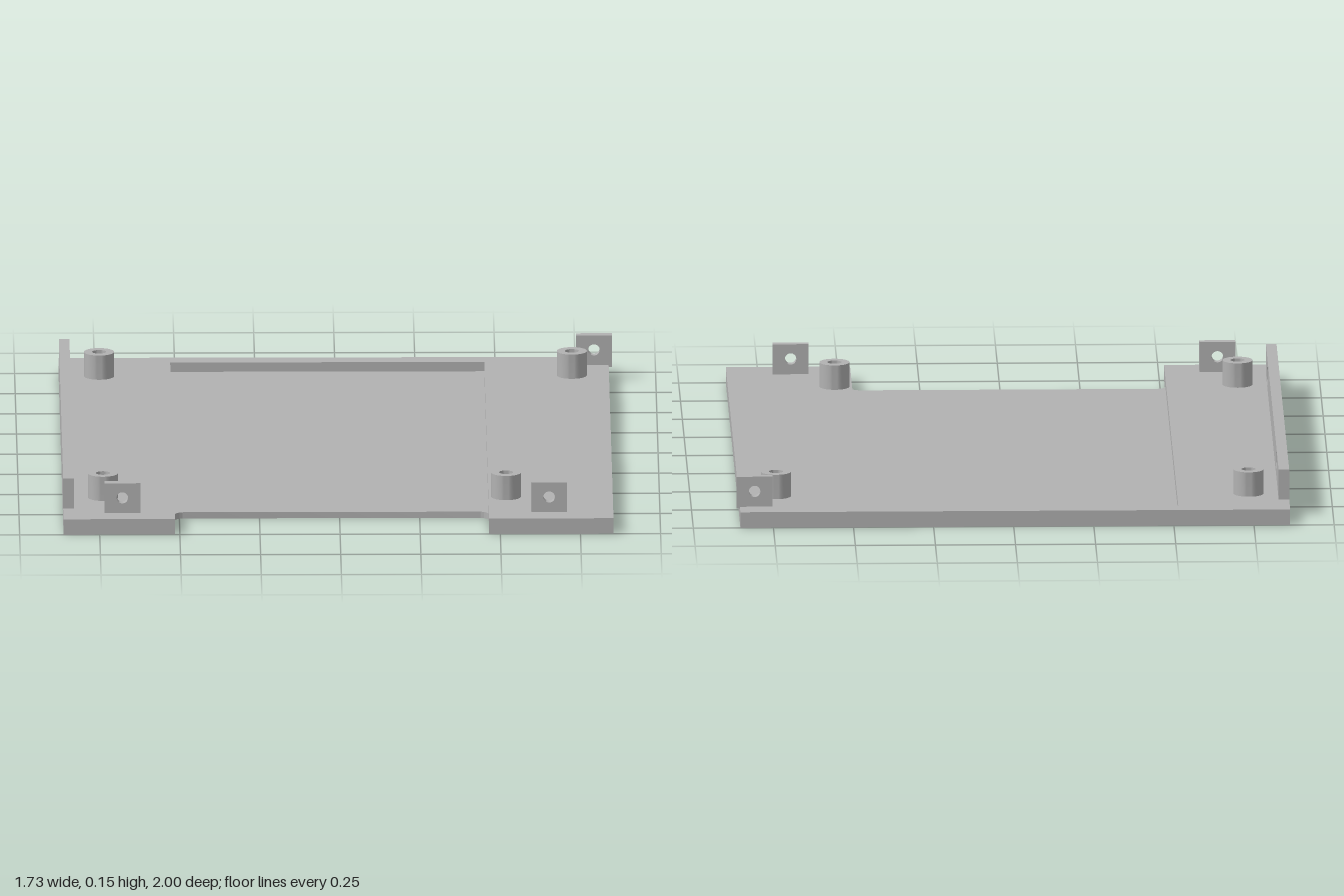
import * as THREE from 'three';
import { toCreasedNormals } from 'three/addons/utils/BufferGeometryUtils.js';

const X0 = -0.863, X1 = 0.853;        // plate sides
const R0 = -0.515, R1 = 0.465;        // recess sides
const FLOOR = 0.02, TOP = 0.05;       // recess floor and plate top
const HOLE_Y = 0.099, WALL_TOP = 0.146;

function polygon(points) {
  return new THREE.Shape(points.map(([x, y]) => new THREE.Vector2(x, y)));
}

function rect(x0, y0, x1, y1) {
  return polygon([[x0, y0], [x1, y0], [x1, y1], [x0, y1]]);
}

function roundHole(x, y, r) {
  return new THREE.Path().absarc(x, y, r, 0, Math.PI * 2, true);
}

// Hexagon with a corner pointing up
function hexHole(x, y, r) {
  const points = [];
  for (let i = 0; i < 6; i++) {
    const a = Math.PI / 2 - i * Math.PI / 3;
    points.push(new THREE.Vector2(x + r * Math.cos(a), y + r * Math.sin(a)));
  }
  return new THREE.Path(points);
}

function extrude(shape, depth) {
  const g = new THREE.ExtrudeGeometry(shape, { depth, bevelEnabled: false, curveSegments: 20 });
  return toCreasedNormals(g, 0.6);
}

export function createModel() {
  const model = new THREE.Group();
  const grey = new THREE.MeshStandardMaterial({ color: 0xb2b2b2 });
  grey.name = 'plain grey';

  const add = (name, geometry) => {
    const mesh = new THREE.Mesh(geometry, grey);
    mesh.name = name;
    model.add(mesh);
    return mesh;
  };
  // Shapes drawn in plan (x, -z), raised from y0 to y1
  const slab = (name, shape, y0, y1) =>
    add(name, extrude(shape, y1 - y0).rotateX(-Math.PI / 2).translate(0, y0, 0));

  // Base plate, notched at the front with rounded inner corners
  const f = 0.03, notch = -0.8;
  const base = new THREE.Shape();
  base.moveTo(X0, -1);
  base.lineTo(R0, -1);
  base.lineTo(R0, notch - f);
  base.absarc(R0 + f, notch - f, f, Math.PI, Math.PI / 2, true);
  base.lineTo(R1 - f, notch);
  base.absarc(R1 - f, notch - f, f, Math.PI / 2, 0, true);
  base.lineTo(R1, -1);
  base.lineTo(X1, -1);
  base.lineTo(X1, 1);
  base.lineTo(X0, 1);
  slab('basePlate', base, 0, FLOOR);

  // Raised border around the recess, open at the front
  slab('raisedBorder', polygon([
    [X0, -1], [R0, -1], [R0, 0.94], [R1, 0.94], [R1, -1], [X1, -1], [X1, 1], [X0, 1],
  ]), FLOOR, TOP);

  // Side wall: round holes outside, hexagonal nut pockets inside
  const wallLayer = (name, x0, x1, hole, r) => {
    const shape = rect(-0.865, TOP, 0.865, WALL_TOP);
    for (const z of [0.622, 0.05, -0.522]) shape.holes.push(hole(-z, HOLE_Y, r));
    add(name, extrude(shape, x1 - x0).rotateY(Math.PI / 2).translate(x0, 0, 0));
  };
  wallLayer('sideWallOuter', X0, X0 + 0.018, roundHole, 0.02);
  wallLayer('sideWallInner', X0 + 0.018, -0.83, hexHole, 0.033);

  // Hollow standoffs
  for (const [x, z] of [[-0.738, -0.775], [0.737, -0.775], [-0.738, 0.727], [0.52, 0.727]]) {
    const ring = new THREE.Shape().absarc(0, 0, 0.047, 0, Math.PI * 2, false);
    ring.holes.push(roundHole(0, 0, 0.022));
    slab('standoff', ring, TOP, 0.128).position.set(x, 0, z);
  }

  // Upright screw tabs
  for (const [x, z, bottom] of [[-0.679, 0.911, TOP], [0.653, 0.911, TOP], [0.807, -0.911, 0.044]]) {
    const tab = rect(-0.056, bottom, 0.056, WALL_TOP);
    tab.holes.push(roundHole(0, HOLE_Y, 0.018));
    add('screwTab', extrude(tab, 0.026)).position.set(x, 0, z - 0.013);
  }

  return model;
}
